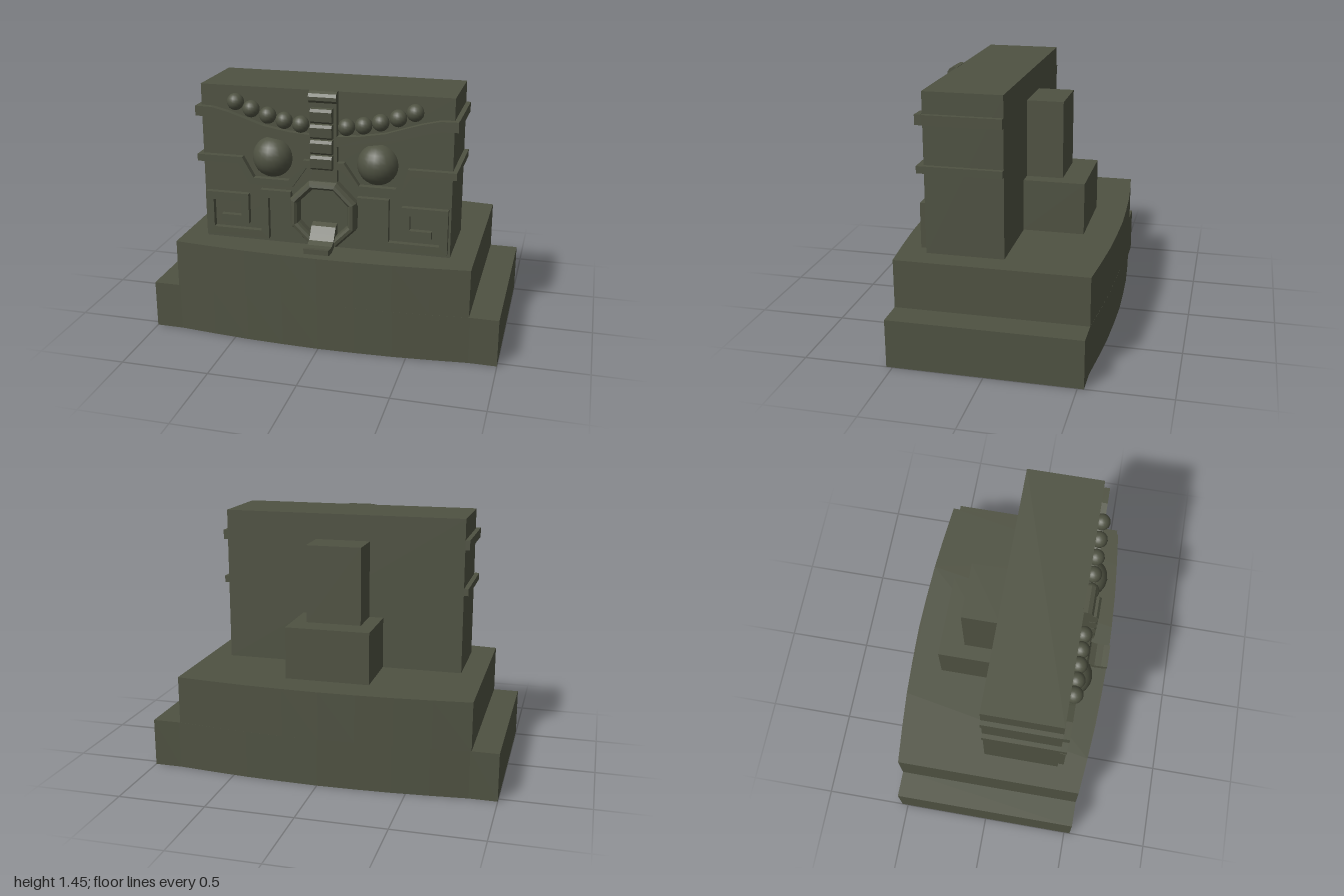
import * as THREE from 'three';

const CX = -0.007; // the shrine sits very slightly off the plinth centre
const FACE = 0.39; // front plane of the wall
const stone = new THREE.MeshStandardMaterial({ color: 0x4f5242 });
stone.name = 'mossy stone';

function add(parent, name, geometry, x = 0, y = 0, z = 0) {
  const mesh = new THREE.Mesh(geometry, stone);
  mesh.name = name;
  mesh.position.set(x, y, z);
  parent.add(mesh);
  return mesh;
}

// Box given by its limits
function block(parent, name, x0, x1, y0, y1, z0, z1) {
  return add(parent, name, new THREE.BoxGeometry(x1 - x0, y1 - y0, z1 - z0),
    (x0 + x1) / 2, (y0 + y1) / 2, (z0 + z1) / 2);
}

const toShape = (pts) => new THREE.Shape(pts.map(([x, y]) => new THREE.Vector2(x, y)));
const extrude = (pts, depth) => new THREE.ExtrudeGeometry(toShape(pts), { depth, bevelEnabled: false });

// Side profile of (z, y) points, extruded across x and centred
function acrossX(pts, width) {
  return extrude(pts, width).rotateY(-Math.PI / 2).translate(width / 2, 0, 0);
}

// Flat strip of constant width with mitred corners along a polyline
function ribbon(pts, width, depth) {
  const left = [], right = [];
  pts.forEach(([x, y], i) => {
    const a = pts[Math.max(i - 1, 0)], b = pts[Math.min(i + 1, pts.length - 1)];
    const here = new THREE.Vector2(x, y);
    let d1 = here.clone().sub(new THREE.Vector2(...a)).normalize();
    let d2 = new THREE.Vector2(...b).sub(here).normalize();
    if (i === 0) d1 = d2;
    if (i === pts.length - 1) d2 = d1;
    const n1 = new THREE.Vector2(-d1.y, d1.x), n2 = new THREE.Vector2(-d2.y, d2.x);
    const m = n1.clone().add(n2).normalize();
    const k = width / 2 / m.dot(n1);
    left.push([x + m.x * k, y + m.y * k]);
    right.unshift([x - m.x * k, y - m.y * k]);
  });
  return extrude([...left, ...right], depth);
}

// Plinth tier with gently bowed front and back
function tier(halfWidth, height) {
  const bow = [[0.843, 0.535], [0.63, 0.556], [0.42, 0.573], [0.21, 0.582], [0, 0.587]];
  const front = [...bow, ...bow.slice(0, -1).reverse().map(([x, z]) => [-x, z])];
  if (halfWidth > 0.9) {
    front.unshift([halfWidth, 0.535]);
    front.push([-halfWidth, 0.535]);
  }
  const back = front.map(([x, z]) => [-x, -z]);
  return extrude([...front, ...back], height).rotateX(-Math.PI / 2);
}

export function createModel() {
  const model = new THREE.Group();
  model.name = 'stone mask monument';

  // Stepped plinth
  add(model, 'lowerTier', tier(1, 0.275));
  add(model, 'upperTier', tier(0.843, 0.275), CX, 0.275, 0);

  const shrine = new THREE.Group();
  shrine.name = 'shrine';
  shrine.position.x = CX;
  model.add(shrine);

  // Wall and rear buttress
  block(shrine, 'wall', -0.707, 0.707, 0.55, 1.445, -0.045, FACE);
  block(shrine, 'rearLowerBlock', -0.243, 0.243, 0.55, 0.85, -0.395, -0.04);
  block(shrine, 'rearUpperBlock', -0.16, 0.16, 0.85, 1.295, -0.255, -0.04);

  // Centre lines of the carved bands, for the model's left half
  const brow = [[0.733, 1.298], [0.64, 1.296], [0.55, 1.275], [0.45, 1.243],
    [0.35, 1.21], [0.2, 1.184], [0.07, 1.175]];
  const eyeBand = [[0.733, 1.028], [0.48, 1.028], [0.415, 0.913], [0.19, 0.913],
    [0.105, 1.036], [0.07, 1.036]];
  const meander = [[0.19, 0.843], [0.345, 0.843], [0.345, 0.597], [0.672, 0.597],
    [0.672, 0.808], [0.462, 0.808], [0.462, 0.677], [0.605, 0.677]];
  const beads = [[0.5, 1.36], [0.41, 1.325], [0.315, 1.295], [0.222, 1.272], [0.128, 1.257]];

  for (const s of [1, -1]) {
    const side = s > 0 ? 'left' : 'right';
    const flip = (pts) => pts.map(([x, y]) => [x * s, y]);

    // Relief bands on the front
    add(shrine, side + 'BrowBand', ribbon(flip(brow), 0.056, 0.035), 0, 0, FACE);
    add(shrine, side + 'EyeBand', ribbon(flip(eyeBand), 0.04, 0.035), 0, 0, FACE);
    add(shrine, side + 'Meander', ribbon(flip(meander), 0.045, 0.033), 0, 0, FACE);

    // Bands returning along the wall ends
    for (const [y0, y1] of [[1.27, 1.325], [1.008, 1.048]]) {
      const band = block(shrine, side + 'EndBand', 0.7, 0.733, y0, y1, -0.045, FACE);
      band.position.x *= s;
    }

    // Bulging eye and brow beads
    add(shrine, side + 'Eye', new THREE.SphereGeometry(0.115, 20, 14), 0.298 * s, 1.055, 0.38);
    for (const [x, y] of beads) {
      add(shrine, side + 'BrowBead', new THREE.SphereGeometry(0.047, 16, 12), x * s, y, 0.41);
    }
  }

  // Nose: backing strip with rolled top, and stacked segments
  add(shrine, 'noseStrip', acrossX([[0.385, 0.945], [0.425, 0.945], [0.425, 1.385],
    [0.442, 1.4], [0.443, 1.42], [0.432, 1.437], [0.41, 1.447], [0.385, 1.447]], 0.155));
  for (let i = 0; i < 4; i++) {
    const y = 1.02 + i * 0.0865;
    add(shrine, 'noseSegment', acrossX([[0.42, y], [0.455, y], [0.468, y + 0.012],
      [0.473, y + 0.065], [0.46, y + 0.08], [0.42, y + 0.08]], 0.12));
  }

  // Octagonal mouth ring
  const ringProfile = [[0.203, 0], [0.203, 0.045], [0.19, 0.068], [0.172, 0.072],
    [0.158, 0.06], [0.152, 0.04], [0.152, 0]].map(([r, h]) => new THREE.Vector2(r, h));
  const ring = new THREE.LatheGeometry(ringProfile, 8, Math.PI / 8).rotateX(Math.PI / 2).toNonIndexed();
  ring.computeVertexNormals();
  add(shrine, 'mouthRing', ring, 0, 0.757, FACE);

  // Tongue hanging out over the plinth
  add(shrine, 'tongue', acrossX([[0.385, 0.6], [0.44, 0.59], [0.47, 0.572], [0.51, 0.563],
    [0.55, 0.565], [0.588, 0.575], [0.588, 0.605], [0.55, 0.598], [0.51, 0.598],
    [0.475, 0.612], [0.45, 0.645], [0.425, 0.68], [0.385, 0.695]], 0.14));

  return model;
}
